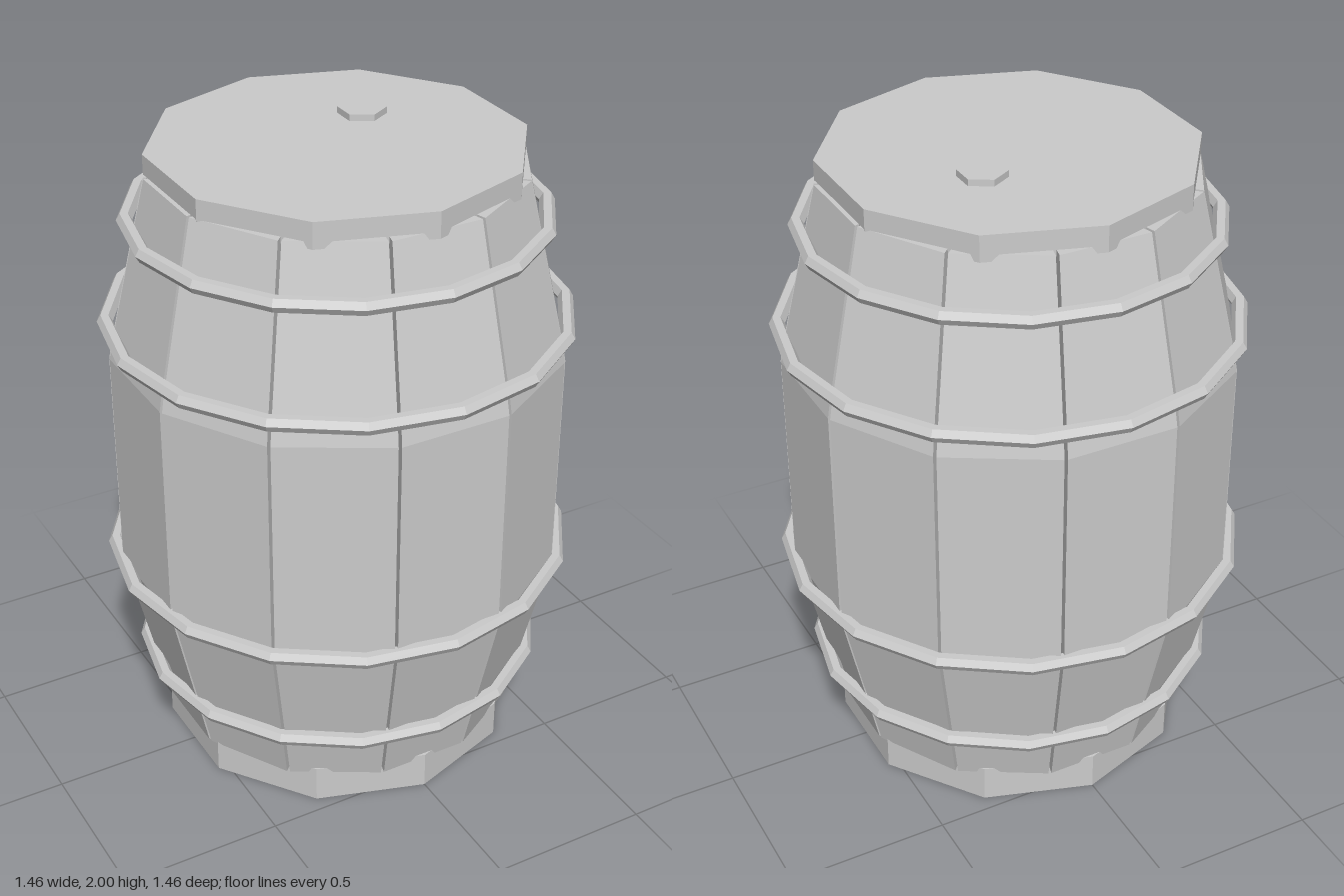
import * as THREE from 'three';

const material = new THREE.MeshStandardMaterial({ color: 0xcccccc, flatShading: true });

function part(name, geometry, x = 0, y = 0, z = 0) {
  const mesh = new THREE.Mesh(geometry, material);
  mesh.name = name;
  mesh.position.set(x, y, z);
  return mesh;
}

// One bent plank: a segmented box whose rows follow the barrel's bulge
function staveGeometry(count) {
  const profile = [[0.1, 0.546], [0.65, 0.67], [1.36, 0.67], [1.41, 0.661], [1.92, 0.546]]; // height, distance from axis
  const thickness = 0.05, halfGap = 0.005;
  const rows = profile.length - 1;
  const geometry = new THREE.BoxGeometry(1, 1, 1, 1, rows, 1);
  const pos = geometry.attributes.position;
  for (let i = 0; i < pos.count; i++) {
    const [y, outer] = profile[Math.round((pos.getY(i) + 0.5) * rows)];
    const r = pos.getZ(i) > 0 ? outer : outer - thickness;
    const halfWidth = r * Math.tan(Math.PI / count) - halfGap;
    pos.setXYZ(i, Math.sign(pos.getX(i)) * halfWidth, y, r);
  }
  geometry.computeVertexNormals();
  return geometry;
}

export function createModel() {
  const barrel = new THREE.Group();
  barrel.name = 'barrel';

  // Ring of staves with narrow gaps
  const staveCount = 12;
  const stave = staveGeometry(staveCount);
  const staves = new THREE.Group();
  staves.name = 'staves';
  for (let i = 0; i < staveCount; i++) {
    const mesh = part('stave', stave);
    mesh.rotation.y = (i / staveCount) * Math.PI * 2;
    staves.add(mesh);
  }
  barrel.add(staves);

  // Hoops: height, radius
  for (const [y, radius] of [[0.285, 0.622], [0.655, 0.705], [1.438, 0.694], [1.762, 0.619]]) {
    const hoop = part('hoop', new THREE.TorusGeometry(radius, 0.024, 6, 16), 0, y, 0);
    hoop.rotation.x = Math.PI / 2;
    barrel.add(hoop);
  }

  // End discs and the bung
  barrel.add(part('bottom', new THREE.CylinderGeometry(0.56, 0.56, 0.12, 10), 0, 0.06, 0));
  barrel.add(part('lid', new THREE.CylinderGeometry(0.56, 0.56, 0.08, 10), 0, 1.94, 0));
  barrel.add(part('bung', new THREE.CylinderGeometry(0.073, 0.073, 0.04, 6), 0.16, 1.98, -0.14));

  return barrel;
}
